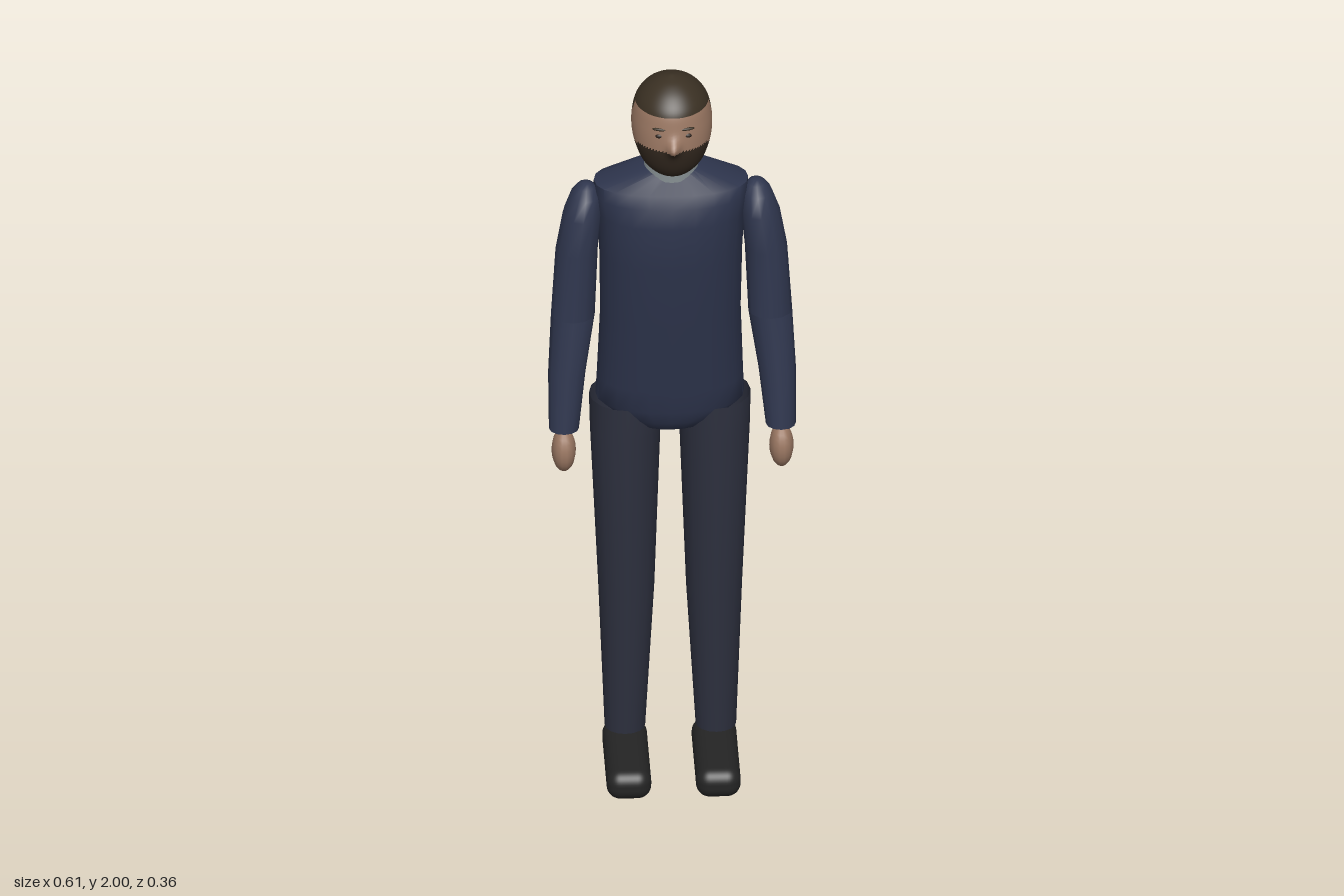
import * as THREE from 'three';
import { toCreasedNormals } from 'three/addons/utils/BufferGeometryUtils.js';
import { RoundedBoxGeometry } from 'three/addons/geometries/RoundedBoxGeometry.js';

const COLORS = { coat: 0x2d344c, sleeve: 0x30374f, trousers: 0x2c2f3d, shoe: 0x242424,
  skin: 0x9b7863, hair: 0x3a3023, beard: 0x30261d, eye: 0x2a201a, collar: 0x8f999c };
const mat = {};
for (const k in COLORS) mat[k] = new THREE.MeshStandardMaterial({ color: COLORS[k] });
mat.trousers.side = THREE.DoubleSide;

function add(parent, name, geo, material) {
  const m = new THREE.Mesh(geo, material);
  m.name = name;
  parent.add(m);
  return m;
}

// Loft through horizontal rings listed from low to high: [y, centreX, zFront, zBack, halfWidth]
function loft(rings, { sides = 16, power = 1, capLow = true, capHigh = true, bump } = {}) {
  const flat = ([y, x, zf, zb]) => [y, x, (zf + zb) / 2, (zf + zb) / 2, 0];
  const all = [...rings];
  if (capLow) all.unshift(flat(rings[0]));
  if (capHigh) all.push(flat(rings[rings.length - 1]));
  const pos = [], idx = [];
  const bend = (v) => Math.sign(v) * Math.abs(v) ** power;
  all.forEach(([y, cx, zf, zb, hw], i) => {
    for (let j = 0; j < sides; j++) {
      const a = (j / sides) * Math.PI * 2;
      const x = cx + hw * bend(Math.sin(a));
      let z = (zf + zb) / 2 + ((zf - zb) / 2) * bend(Math.cos(a));
      if (bump && Math.cos(a) > 0) z += bump(x, y);
      pos.push(x, y, z);
      if (i === 0) continue;
      const p = (i - 1) * sides, k = (j + 1) % sides;
      idx.push(p + j, p + k, p + sides + k, p + j, p + sides + k, p + sides + j);
    }
  });
  const g = new THREE.BufferGeometry();
  g.setAttribute('position', new THREE.Float32BufferAttribute(pos, 3));
  g.setIndex(idx);
  return g;
}
const creased = (rings, opts) => toCreasedNormals(loft(rings, opts), 0.8);

function makeHead() {
  const head = new THREE.Group();
  head.name = 'head';
  // profile: y, zFront, zBack, halfWidth
  const profile = [
    [1.745, 0.085, 0.055, 0.015], [1.757, 0.122, 0.02, 0.045], [1.785, 0.143, 0, 0.073],
    [1.825, 0.154, -0.03, 0.091], [1.86, 0.155, -0.06, 0.099], [1.9, 0.15, -0.068, 0.098],
    [1.94, 0.14, -0.058, 0.088], [1.97, 0.115, -0.033, 0.066], [1.99, 0.082, 0.005, 0.036],
    [2, 0.045, 0.035, 0.004]];
  const curve = (f) => new THREE.CatmullRomCurve3(profile.map(f), false, 'catmullrom');
  const depth = curve((p) => new THREE.Vector3(p[1], p[0], p[2]));
  const width = curve((p) => new THREE.Vector3(p[3], p[0], 0));
  const rings = [];
  for (let i = 0; i <= 54; i++) {
    const d = depth.getPoint(i / 54);
    rings.push([d.y, 0, d.x, d.z, width.getPoint(i / 54).x]);
  }
  // nose ridge raised from the face
  const nose = (x, y) => 0.026 * Math.exp(-((x / 0.013) ** 2) - ((y - 1.856) / 0.02) ** 2);
  const g = loft(rings, { sides: 72, bump: nose });
  g.computeVertexNormals();

  // split the skull surface into hair, beard and skin regions
  const region = { hair: [], beard: [], skin: [] };
  const p = g.attributes.position, index = g.index.array;
  for (let t = 0; t < index.length; t += 3) {
    const tri = [index[t], index[t + 1], index[t + 2]];
    const mean = (f) => (p[f](tri[0]) + p[f](tri[1]) + p[f](tri[2])) / 3;
    const y = mean('getY'), z = mean('getZ');
    const hairline = z > 0.05 ? 1.935 : z > 0.02 ? 1.91 : z > -0.015 ? 1.885 : 1.805;
    const beardline = z > 0.1 ? 1.845 : 1.838;
    const key = y > hairline ? 'hair' : y < beardline && z > 0.015 ? 'beard' : 'skin';
    region[key].push(...tri);
  }
  for (const key in region) {
    const part = new THREE.BufferGeometry();
    part.setAttribute('position', g.attributes.position);
    part.setAttribute('normal', g.attributes.normal);
    part.setIndex(region[key]);
    add(head, key === 'skin' ? 'face' : key, part, mat[key]);
  }

  // eyes and brows
  for (const s of [-1, 1]) {
    const eye = add(head, 'eye', new THREE.SphereGeometry(1, 12, 8), mat.eye);
    eye.scale.set(0.011, 0.006, 0.006);
    eye.position.set(s * 0.034, 1.885, 0.142);
    const brow = add(head, 'brow', new THREE.SphereGeometry(1, 12, 8), mat.hair);
    brow.scale.set(0.018, 0.004, 0.005);
    brow.position.set(s * 0.035, 1.903, 0.141);
    brow.rotation.y = s * 0.25;
  }
  return head;
}

function makeArm(s) {
  const arm = new THREE.Group();
  arm.name = s > 0 ? 'leftArm' : 'rightArm';
  const elbow = [1.32, s * 0.243, 0.085, -0.015, 0.054];
  add(arm, 'forearmSleeve', creased([
    [1.02, s * 0.267, 0.115, 0.045, 0.037],
    [1.17, s * 0.259, 0.1, 0.02, 0.046], elbow], { sides: 12 }), mat.sleeve);
  add(arm, 'upperSleeve', creased([elbow,
    [1.5, s * 0.233, 0.08, -0.038, 0.052], [1.6, s * 0.219, 0.08, -0.048, 0.048],
    [1.65, s * 0.212, 0.062, -0.036, 0.036], [1.672, s * 0.21, 0.042, -0.016, 0.022],
    [1.68, s * 0.209, 0.022, 0.004, 0.01]], { sides: 12 }), mat.sleeve);
  const hand = add(arm, 'hand', new THREE.SphereGeometry(1, 14, 12), mat.skin);
  hand.scale.set(0.03, 0.058, 0.043);
  hand.position.set(s * 0.268, 0.965, 0.09);
  return arm;
}

function makeLeg(s) {
  const leg = new THREE.Group();
  leg.name = s > 0 ? 'leftLeg' : 'rightLeg';
  add(leg, 'trouserLeg', creased([
    [0.105, s * 0.112, 0.022, -0.075, 0.05], [0.5, s * 0.108, 0.03, -0.108, 0.069],
    [0.95, s * 0.11, 0.035, -0.145, 0.087], [1.035, s * 0.105, 0.033, -0.155, 0.094],
  ], { capHigh: false }), mat.trousers);
  const shoe = add(leg, 'shoe', new RoundedBoxGeometry(0.11, 0.078, 0.3, 5, 0.034), mat.shoe);
  shoe.position.set(s * 0.11, 0.039, 0.03);
  return leg;
}

export function createModel() {
  const figure = new THREE.Group();
  figure.name = 'standingMan';

  // coat body with a rounded underside
  add(figure, 'coatBody', creased([
    [0.955, 0, -0.01, -0.09, 0.04], [0.975, 0, 0.025, -0.135, 0.095],
    [1, 0, 0.04, -0.165, 0.14], [1.035, 0, 0.05, -0.18, 0.183],
    [1.1, 0, 0.06, -0.168, 0.18], [1.3, 0, 0.088, -0.142, 0.173],
    [1.48, 0, 0.113, -0.13, 0.176], [1.6, 0, 0.12, -0.122, 0.182],
    [1.65, 0, 0.11, -0.108, 0.19], [1.682, 0, 0.095, -0.09, 0.19],
    [1.735, 0, 0.072, -0.05, 0.07]], { sides: 24, power: 0.88 }), mat.coat);

  // neck and tilted collar
  add(figure, 'neck', creased([
    [1.7, 0, 0.065, -0.035, 0.056], [1.84, 0, 0.08, -0.03, 0.058]], { sides: 20 }), mat.skin);
  const collar = add(figure, 'collar',
    new THREE.CylinderGeometry(0.065, 0.068, 0.028, 28), mat.collar);
  collar.position.set(0, 1.745, 0.02);
  collar.rotation.x = 0.25;

  figure.add(makeHead());
  for (const s of [-1, 1]) figure.add(makeArm(s), makeLeg(s));
  return figure;
}
